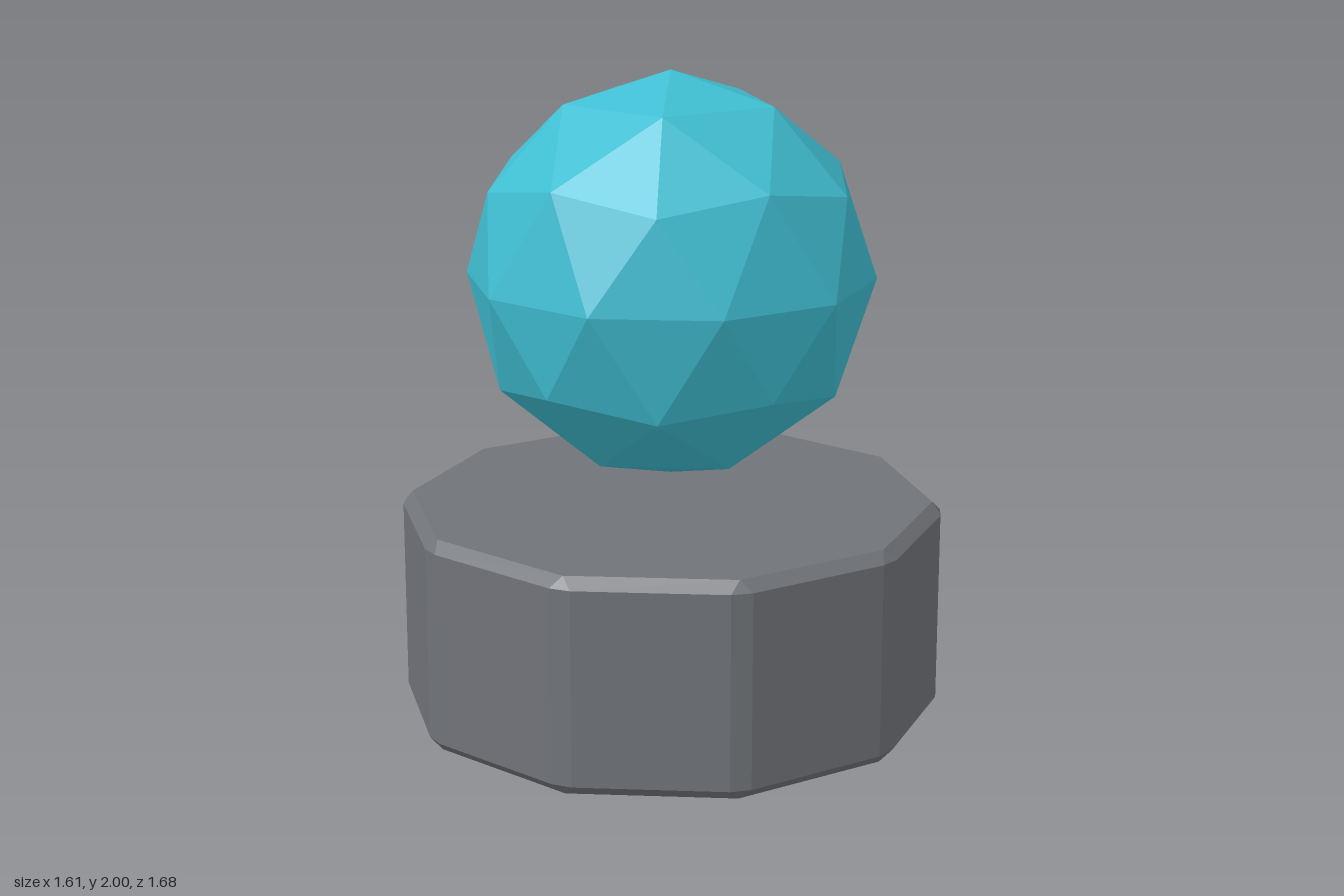
import * as THREE from 'three';

const SIDES = 10, APOTHEM = 0.807, HEIGHT = 0.667, BEVEL = 0.034;

// Ten-sided ring of 20 points: each edge is cut back by `cut` at both of its ends.
function ring(apothem, cut, y) {
  const half = apothem * Math.tan(Math.PI / SIDES) - cut;
  const points = [];
  for (let i = 0; i < SIDES; i++) {
    const a = (i / SIDES) * Math.PI * 2;
    for (const s of [-half, half]) {
      points.push([
        apothem * Math.cos(a) - s * Math.sin(a),
        y,
        apothem * Math.sin(a) + s * Math.cos(a),
      ]);
    }
  }
  return points;
}

// Skin a stack of rings from bottom to top and close both ends.
function loft(rings) {
  const n = rings[0].length;
  const positions = rings.flat(2);
  const index = [];
  for (let r = 0; r < rings.length - 1; r++) {
    for (let i = 0; i < n; i++) {
      const a = r * n + i, b = r * n + (i + 1) % n;
      index.push(a, a + n, b, b, a + n, b + n);
    }
  }
  const top = (rings.length - 1) * n;
  for (let i = 1; i < n - 1; i++) {
    index.push(0, i, i + 1, top, top + i + 1, top + i);
  }
  // Drop the zero-area triangles where two ring points meet in a cap corner.
  const point = (k) => new THREE.Vector3().fromArray(positions, k * 3);
  const kept = [];
  for (let i = 0; i < index.length; i += 3) {
    const tri = index.slice(i, i + 3);
    if (new THREE.Triangle(...tri.map(point)).getArea() > 1e-7) kept.push(...tri);
  }
  const geometry = new THREE.BufferGeometry();
  geometry.setAttribute('position', new THREE.Float32BufferAttribute(positions, 3));
  geometry.setIndex(kept);
  const flat = geometry.toNonIndexed();
  flat.computeVertexNormals();
  return flat;
}

export function createModel() {
  const model = new THREE.Group();
  model.name = 'orbOnPedestal';

  // Ten-sided pedestal with every edge bevelled; the caps keep sharp corners
  const pedestal = new THREE.Mesh(
    loft([
      ring(APOTHEM - BEVEL, 0, 0),
      ring(APOTHEM, BEVEL, BEVEL),
      ring(APOTHEM, BEVEL, HEIGHT - BEVEL),
      ring(APOTHEM - BEVEL, 0, HEIGHT),
    ]),
    new THREE.MeshStandardMaterial({ color: 0x707378, flatShading: true })
  );
  pedestal.name = 'pedestal';
  model.add(pedestal);

  // Faceted orb floating above, turned so one icosahedron corner points straight up
  const orbGeometry = new THREE.IcosahedronGeometry(0.627, 1);
  orbGeometry.rotateZ(-Math.atan(2 / (1 + Math.sqrt(5))));
  const orb = new THREE.Mesh(
    orbGeometry,
    new THREE.MeshStandardMaterial({ color: 0x3fbdd1, flatShading: true })
  );
  orb.name = 'orb';
  orb.position.y = 2 - 0.627;
  model.add(orb);

  return model;
}
